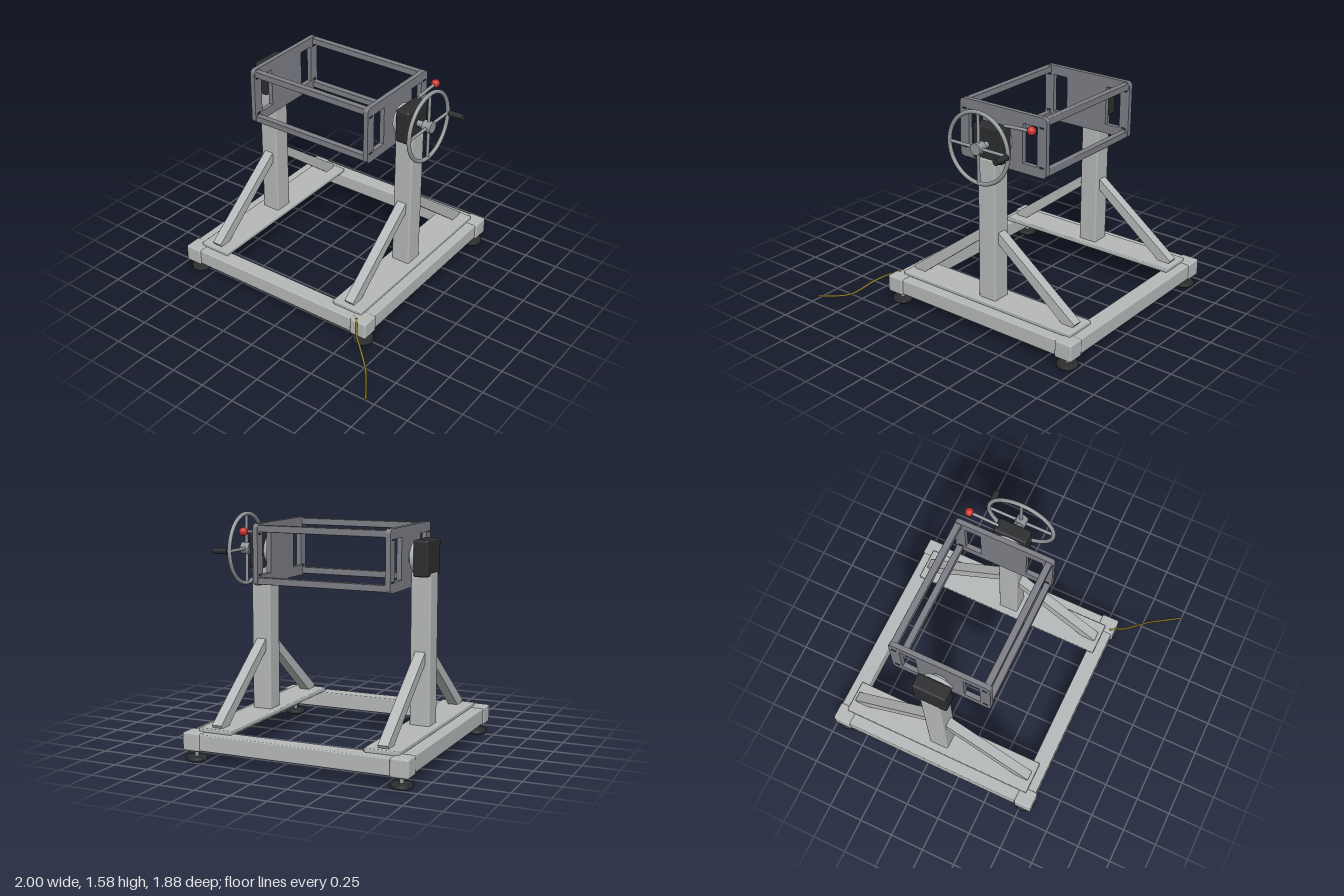
import * as THREE from 'three';
import { RoundedBoxGeometry } from 'three/addons/geometries/RoundedBoxGeometry.js';

const CX = 0.205; // centre line of the stand
const AY = 1.327; // height of the rotation axis

export function createModel() {
  const model = new THREE.Group();
  model.name = 'rotatingStand';
  const mat = (name, color) => {
    const m = new THREE.MeshStandardMaterial({ color });
    m.name = name;
    return m;
  };
  const paint = mat('light grey paint', 0xb6b9b9);
  const steel = mat('frame grey', 0x7e7f86);
  const metal = mat('wheel metal', 0x93979a);
  const black = mat('black plastic', 0x2c2d2e);
  const red = mat('red knob', 0xc9332e);
  const olive = mat('olive cable', 0x80701f);

  const add = (name, geo, material, x = 0, y = 0, z = 0) => {
    const mesh = new THREE.Mesh(geo, material);
    mesh.name = name;
    mesh.position.set(x, y, z);
    model.add(mesh);
    return mesh;
  };
  // box given by its limits, with softly rounded edges
  const block = (name, m, x0, x1, y0, y1, z0, z1, r = 0.008) =>
    add(name, new RoundedBoxGeometry(x1 - x0, y1 - y0, z1 - z0, 2, r), m,
      (x0 + x1) / 2, (y0 + y1) / 2, (z0 + z1) / 2);
  // rod between two points
  const rod = (name, m, a, b, r, sides = 24) => {
    const p = new THREE.Vector3(...a), q = new THREE.Vector3(...b);
    const mesh = add(name, new THREE.CylinderGeometry(r, r, p.distanceTo(q), sides), m);
    mesh.position.copy(p).add(q).multiplyScalar(0.5);
    mesh.quaternion.setFromUnitVectors(new THREE.Vector3(0, 1, 0), q.sub(p).normalize());
    return mesh;
  };

  // base frame
  for (const [z0, z1] of [[0.515, 0.63], [-0.93, -0.815]])
    block('baseCrossBeam', paint, -0.5, 0.91, 0.08, 0.192, z0, z1);
  for (const s of [-1, 1]) {
    const x = CX + s * 0.725;
    block('baseSideBeam', paint, x - 0.058, x + 0.058, 0.08, 0.192, -0.86, 0.56);
  }

  // corner blocks with levelling feet
  for (const x of [-0.525, 0.93]) for (const z of [0.58, -0.875]) {
    block('cornerBlock', paint, x - 0.065, x + 0.065, 0.075, 0.198, z - 0.063, z + 0.063, 0.012);
    const fx = CX + Math.sign(x - CX) * 0.72;
    const fz = z > 0 ? 0.577 : -0.867;
    rod('footStem', metal, [fx, 0.02, fz], [fx, 0.09, fz], 0.014);
    rod('footNut', metal, [fx, 0.06, fz], [fx, 0.078, fz], 0.028, 6);
    const profile = [[0, 0], [0.064, 0], [0.072, 0.007], [0.072, 0.022], [0.065, 0.03], [0, 0.03]];
    add('footPad', new THREE.LatheGeometry(profile.map(p => new THREE.Vector2(...p)), 32), black, fx, 0, fz);
  }

  // diagonal brace outline, measured outward from the centre line
  const bracePoints = [[0.06, 0.75], [0.06, 0.576], [0.6, 0.215], [0.68, 0.215], [0.695, 0.24], [0.075, 0.71]];
  bracePoints[0] = [0.06, 0.721];
  bracePoints[1] = [0.06, 0.642];
  const makeBrace = (s) => {
    const pts = bracePoints.map(([x, y]) => new THREE.Vector2(s * x, y));
    return new THREE.ExtrudeGeometry(new THREE.Shape(pts),
      { depth: 0.07, bevelEnabled: false });
  };

  // end plate outline with two windows
  const plate = new THREE.Shape();
  const W = 0.357, H = 0.205, R = 0.032;
  plate.moveTo(-W + R, -H);
  plate.lineTo(W - R, -H);
  plate.absarc(W - R, -H + R, R, -Math.PI / 2, 0);
  plate.lineTo(W, H - R);
  plate.absarc(W - R, H - R, R, 0, Math.PI / 2);
  plate.lineTo(-W + R, H);
  plate.absarc(-W + R, H - R, R, Math.PI / 2, Math.PI);
  plate.lineTo(-W, -H + R);
  plate.absarc(-W + R, -H + R, R, Math.PI, Math.PI * 1.5);
  for (const s of [-1, 1]) {
    const a = s * 0.225, w = 0.058, h = 0.137;
    plate.holes.push(new THREE.Path([[a - w, -h], [a - w, h], [a + w, h], [a + w, -h]]
      .map(p => new THREE.Vector2(...p))));
  }
  const plateGeo = new THREE.ExtrudeGeometry(plate, { depth: 0.034, bevelEnabled: false, curveSegments: 8 });

  // two matching end stands; d points to the middle of the machine
  for (const e of [
    { side: 'front', d: -1, mid: 0.44, box: 0.45, plate: 0.308 },
    { side: 'back', d: 1, mid: -0.73, box: -0.743, plate: -0.634 },
  ]) {
    const { side, d, mid, box } = e;
    block(side + 'MountPlate', paint, -0.515, 0.925, 0.19, 0.22, mid - 0.118, mid + 0.118, 0.007);
    block(side + 'Column', paint, CX - 0.071, CX + 0.071, 0.21, 1.23, mid - 0.07, mid + 0.07, 0.012);
    for (const s of [-1, 1])
      add(side + 'Brace', makeBrace(s), paint, CX, 0, mid - 0.036);
    block(side + 'BearingHousing', black, CX - 0.12, CX + 0.12, 1.207, 1.447, box - 0.052, box + 0.052, 0.016);
    rod(side + 'BearingRing', paint, [CX, AY, box], [CX, AY, box + d * 0.082], 0.103, 40);
    rod(side + 'AxleFlange', metal, [CX, AY, box + d * 0.08], [CX, AY, box + d * 0.113], 0.05, 32);
    add(side + 'EndPlate', plateGeo, steel, CX, AY, e.plate);

    // fixing slots on both faces of the plate corners
    for (const sx of [-1, 1]) for (const sy of [-1, 1])
      add(side + 'PlateSlot', new THREE.BoxGeometry(0.034, 0.012, 0.04), black,
        CX + sx * 0.32, AY + sy * 0.135, e.plate + 0.017);
  }

  // long rails joining the end plates
  for (const sx of [-1, 1]) for (const sy of [-1, 1]) {
    const x = CX + sx * 0.327, y = AY + sy * 0.173;
    block('frameRail', steel, x - 0.023, x + 0.023, y - 0.023, y + 0.023, -0.61, 0.315, 0.005);
  }

  // handwheel
  const WZ = 0.585;
  add('handwheelRim', new THREE.TorusGeometry(0.24, 0.014, 14, 64), metal, CX, AY, WZ);
  for (let i = 0; i < 4; i++) {
    const c = Math.cos(i * Math.PI / 2), s = Math.sin(i * Math.PI / 2);
    rod('handwheelSpoke', metal, [CX, AY, WZ], [CX + c * 0.24, AY + s * 0.24, WZ], 0.011, 12);
  }
  rod('handwheelHub', metal, [CX, AY, 0.552], [CX, AY, 0.617], 0.04, 32);
  rod('handwheelShaft', metal, [CX, AY, 0.48], [CX, AY, 0.56], 0.022);
  rod('crankPin', metal, [CX + 0.24, AY, WZ], [CX + 0.24, AY, 0.61], 0.011);
  rod('crankHandle', black, [CX + 0.24, AY, 0.6], [CX + 0.24, AY, 0.71], 0.021);

  // locking lever
  rod('lockLever', metal, [0.3, 1.458, 0.437], [0.51, 1.47, 0.437], 0.011, 16);
  add('lockKnob', new THREE.SphereGeometry(0.03, 28, 18), red, 0.515, 1.472, 0.437);

  // trailing cable
  const path = new THREE.CatmullRomCurve3([
    [-0.56, 0.195, 0.55], [-0.59, 0.188, 0.574], [-0.65, 0.158, 0.615], [-0.71, 0.118, 0.685],
    [-0.76, 0.072, 0.75], [-0.81, 0.038, 0.803], [-0.88, 0.023, 0.855], [-0.996, 0.016, 0.933],
  ].map(p => new THREE.Vector3(...p)));
  add('cable', new THREE.TubeGeometry(path, 60, 0.008, 10), olive);
  for (const t of [0, 1]) {
    const cap = add('cableEnd', new THREE.SphereGeometry(0.008, 10, 8), olive);
    cap.position.copy(path.getPoint(t));
  }
  return model;
}
